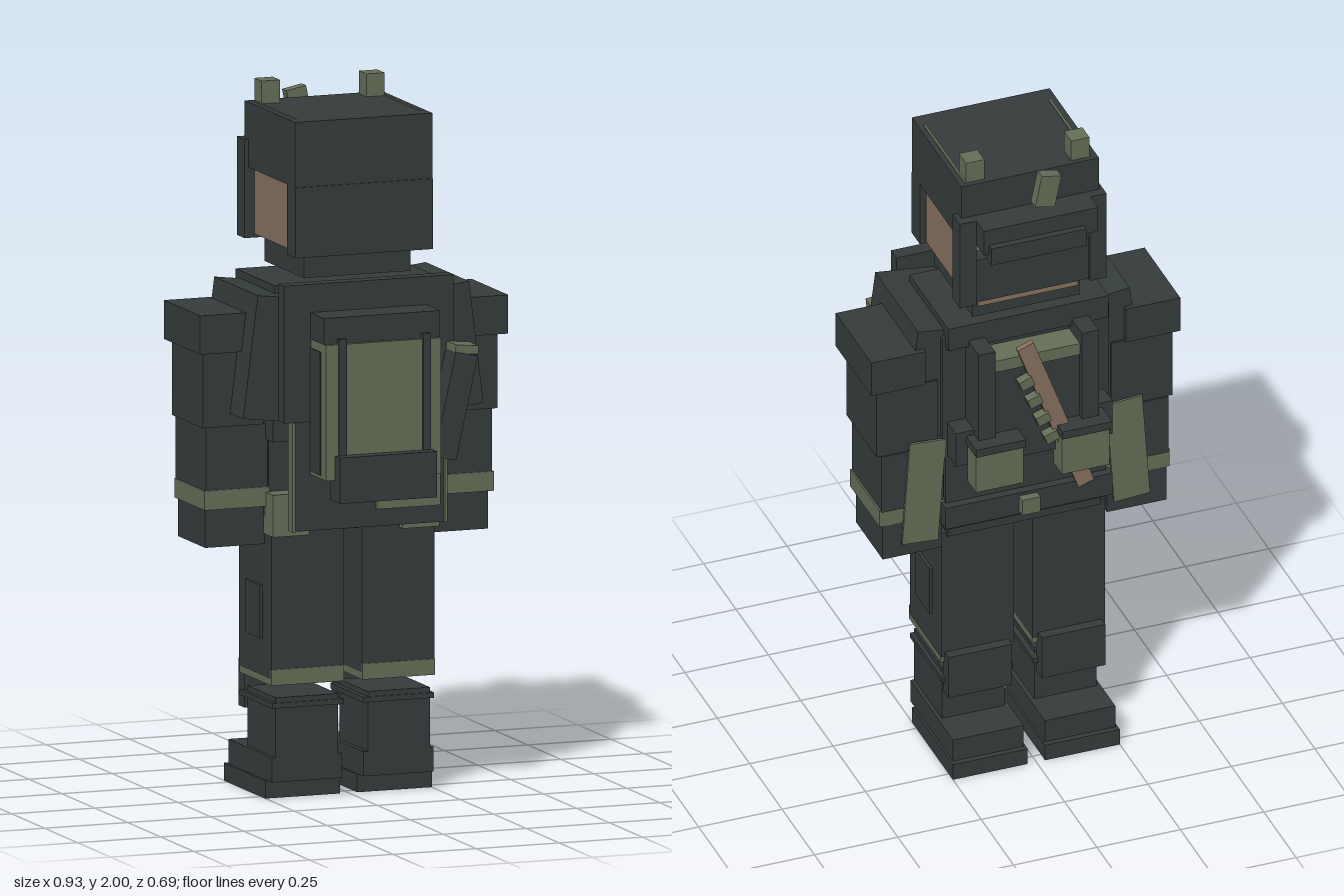
import * as THREE from 'three';

const dark = new THREE.MeshStandardMaterial({ color: 0x363d3d, name: 'charcoal' });
const green = new THREE.MeshStandardMaterial({ color: 0x667059, name: 'olive' });
const skin = new THREE.MeshStandardMaterial({ color: 0x8a7260, name: 'tan' });

export function createModel() {
  const model = new THREE.Group();
  model.name = 'armouredFigure';

  // Box from its extents on each axis
  const box = (name, mat, x0, x1, y0, y1, z0, z1) => {
    const m = new THREE.Mesh(new THREE.BoxGeometry(x1 - x0, y1 - y0, z1 - z0), mat);
    m.position.set((x0 + x1) / 2, (y0 + y1) / 2, (z0 + z1) / 2);
    m.name = name;
    model.add(m);
    return m;
  };
  // The same box on both sides of the body
  const pair = (name, mat, x0, x1, y0, y1, z0, z1, tilt = 0) => {
    box(name + 'Left', mat, x0, x1, y0, y1, z0, z1).rotation.z = tilt;
    box(name + 'Right', mat, -x1, -x0, y0, y1, z0, z1).rotation.z = -tilt;
  };

  // Head and helmet (the face looks towards -z)
  box('head', skin, -0.19, 0.19, 1.56, 1.76, -0.2, 0.08);
  box('helmetTop', dark, -0.208, 0.205, 1.75, 1.935, -0.23, 0.152);
  box('helmetBack', dark, -0.208, 0.205, 1.55, 1.75, 0.09, 0.156);
  box('chinGuard', dark, -0.157, 0.163, 1.48, 1.58, -0.21, 0.09);
  box('chinSkin', skin, -0.15, 0.15, 1.515, 1.545, -0.216, -0.21);
  box('faceMask', dark, -0.17, 0.17, 1.55, 1.69, -0.245, -0.2);
  box('visorBrow', dark, -0.172, 0.17, 1.75, 1.83, -0.315, -0.22);
  box('goggles', dark, -0.13, 0.155, 1.725, 1.78, -0.335, -0.27);
  pair('cheekPanel', dark, 0.17, 0.22, 1.55, 1.83, -0.257, -0.2);
  pair('helmetPost', green, 0.13, 0.185, 1.93, 2, -0.215, -0.16);
  pair('helmetTrim', green, 0.183, 0.19, 1.932, 1.938, -0.215, 0.1);
  box('browLamp', green, -0.06, 0, 1.855, 1.955, -0.297, -0.263).rotation.z = 0.2;

  // Torso
  box('collar', dark, -0.24, 0.24, 1.39, 1.462, -0.22, 0.08);
  box('chest', dark, -0.25, 0.25, 1.02, 1.42, -0.2, 0.09);
  box('waist', dark, -0.24, 0.24, 0.78, 1.03, -0.2, 0.03);
  box('belt', dark, -0.25, 0.25, 0.8, 0.87, -0.225, 0.035);
  box('pelvis', dark, -0.23, 0.23, 0.75, 0.79, -0.19, 0.03);
  box('buckle', green, -0.025, 0.03, 0.81, 0.86, -0.25, -0.225);
  pair('hipPouch', green, 0.14, 0.25, 0.75, 0.87, 0.015, 0.09);
  pair('shoulderBlock', dark, 0.16, 0.34, 1.09, 1.44, -0.185, 0.145, 0.125);

  // Chest rig
  box('chestPlate', dark, -0.17, 0.17, 1.03, 1.355, -0.28, -0.2);
  box('chestTrim', green, -0.172, 0.172, 1.33, 1.367, -0.284, -0.2);
  box('rigBand', dark, -0.235, 0.235, 1.03, 1.14, -0.265, -0.2);
  pair('rigStrap', dark, 0.13, 0.18, 1.12, 1.41, -0.3, -0.2);
  pair('rigPouch', green, 0.058, 0.2, 0.975, 1.11, -0.33, -0.265);
  pair('rigPouchLid', dark, 0.055, 0.204, 1.1, 1.125, -0.343, -0.265);
  box('sling', skin, -0.075, -0.025, 0.895, 1.425, -0.305, -0.288).rotation.z = -0.35;
  for (let i = 0; i < 4; i++) {
    const x = -0.075 + i * 0.025, y = 1.1 + i * 0.065;
    box('slingTab' + (i + 1), green, x + 0.02, x + 0.06, y - 0.02, y + 0.01, -0.315, -0.285)
      .rotation.z = -0.35;
  }

  // Arms
  pair('shoulderPad', dark, 0.3, 0.463, 1.28, 1.39, -0.2, 0.075);
  pair('upperArm', dark, 0.26, 0.443, 1.065, 1.28, -0.19, 0.045);
  pair('forearm', dark, 0.245, 0.43, 0.88, 1.065, -0.195, 0.035);
  pair('cuff', green, 0.24, 0.435, 0.83, 0.885, -0.19, 0.038);
  pair('glove', dark, 0.247, 0.425, 0.72, 0.83, -0.19, 0.018);
  pair('armPanel', green, 0.252, 0.36, 0.76, 1.09, -0.203, -0.195, 0.07);

  // Backpack
  box('packFrame', dark, -0.257, 0.253, 1.09, 1.48, 0.148, 0.19);
  box('packFrameLower', dark, -0.228, 0.228, 0.78, 1.09, 0.148, 0.185);
  box('packBody', green, -0.175, 0.17, 0.94, 1.325, 0.185, 0.305);
  box('packLid', dark, -0.177, 0.172, 1.325, 1.4, 0.185, 0.293);
  pair('packSide', dark, 0.17, 0.178, 0.95, 1.3, 0.19, 0.265);
  pair('packStrap', dark, 0.115, 0.138, 1.01, 1.34, 0.29, 0.31);
  box('packPocket', dark, -0.148, 0.144, 0.88, 1.01, 0.27, 0.342);
  box('packSidePouch', green, 0.02, 0.212, 0.83, 1.0, 0.15, 0.197);
  pair('packEdge', green, 0.225, 0.233, 0.78, 1.09, 0.16, 0.197);
  box('radio', dark, 0.197, 0.265, 0.97, 1.27, 0.19, 0.265).rotation.z = -0.22;
  box('radioCap', green, 0.231, 0.3, 1.266, 1.29, 0.192, 0.262).rotation.z = -0.1;

  // Legs and boots
  pair('leg', dark, 0.028, 0.245, 0.345, 0.76, -0.18, 0.065);
  pair('legBand', green, 0.028, 0.246, 0.325, 0.345, -0.175, 0.066);
  pair('legBandBack', green, 0.028, 0.246, 0.325, 0.37, 0.06, 0.068);
  pair('thighPocket', dark, 0.2, 0.254, 0.45, 0.6, -0.112, 0);
  pair('kneePad', dark, 0.045, 0.235, 0.225, 0.36, -0.21, -0.165);
  pair('bootShaft', dark, 0.045, 0.232, 0.1, 0.29, -0.15, 0.065);
  pair('bootStrap', dark, 0.03, 0.243, 0.26, 0.275, -0.18, 0.069);
  pair('bootFoot', dark, 0.032, 0.243, 0.05, 0.12, -0.265, 0.065);
  pair('bootSole', dark, 0.026, 0.25, 0, 0.05, -0.282, 0.033);

  return model;
}
